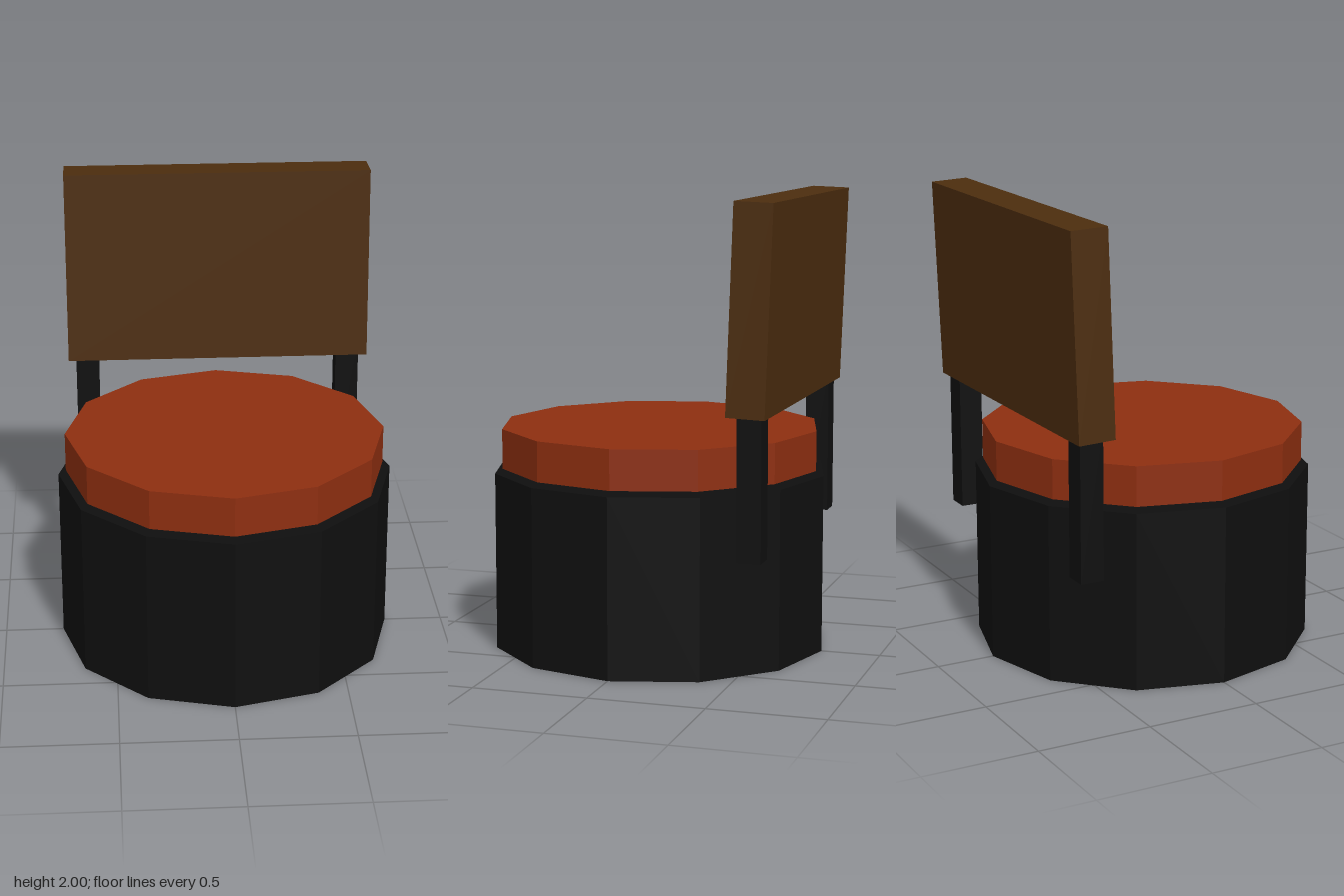
import * as THREE from 'three';

function material(name, color, flat = true) {
  const m = new THREE.MeshStandardMaterial({ color, flatShading: flat });
  m.name = name;
  return m;
}

export function createModel() {
  const rubber = material('black rubber', 0x0f0f0f);
  const leather = material('rust leather', 0x8d2e10);
  const wood = material('dark wood', 0x4c2d0e);

  const model = new THREE.Group();
  model.name = 'chair';
  const add = (name, geometry, mat, x, y, z) => {
    const mesh = new THREE.Mesh(geometry, mat);
    mesh.name = name;
    mesh.position.set(x, y, z);
    model.add(mesh);
    return mesh;
  };

  // Hollow twelve-sided base, open through the middle
  const sides = 12, outer = 0.74, inner = 0.38, height = 0.78;
  const profile = [[inner, 0], [outer, 0], [outer, height], [inner, height], [inner, 0]]
    .map(([r, y]) => new THREE.Vector2(r, y));
  add('base', new THREE.LatheGeometry(profile, sides), rubber, 0, 0, 0);

  // Cushion, just clear of the base
  add('seat', new THREE.CylinderGeometry(0.707, 0.707, 0.175, sides), leather, 0, 0.8875, 0);

  // Square posts carrying the backrest
  for (const [name, side] of [['leftPost', 1], ['rightPost', -1]]) {
    add(name, new THREE.BoxGeometry(0.105, 0.66, 0.105), rubber, side * 0.6, 0.85, -0.58);
  }

  // Backrest, leaning slightly back
  const back = add('backrest', new THREE.BoxGeometry(1.374, 0.875, 0.165), wood, 0, 1.5595, -0.586);
  back.rotation.x = -0.035;

  return model;
}
